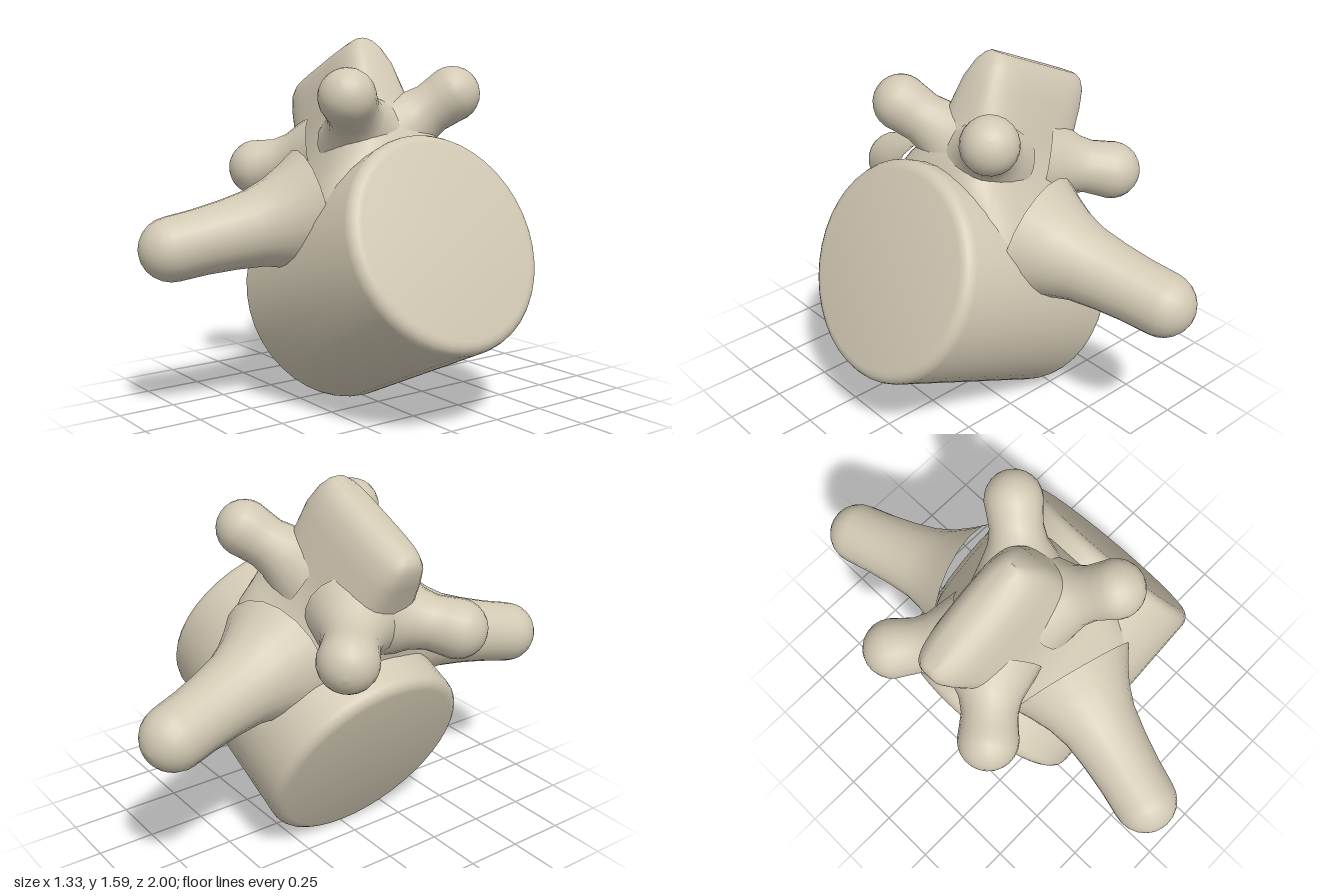
import * as THREE from 'three';
import { toCreasedNormals } from 'three/addons/utils/BufferGeometryUtils.js';

const V2 = (x, y) => new THREE.Vector2(x, y);
const V3 = (p) => new THREE.Vector3(...p);

// Round-tipped limb: profile rows are [fraction of length, radius]
function limb(name, from, to, profile, tip, material) {
  const a = V3(from), dir = V3(to).sub(a), length = dir.length();
  const points = profile.map(([t, r]) => V2(r, t * length));
  for (let i = 0; i <= 6; i++) {
    const angle = (i / 6) * Math.PI / 2;
    points.push(V2(Math.max(0, tip * Math.cos(angle)), length + tip * Math.sin(angle)));
  }
  const mesh = new THREE.Mesh(new THREE.LatheGeometry(points, 20), material);
  mesh.name = name;
  mesh.position.copy(a);
  mesh.quaternion.setFromUnitVectors(new THREE.Vector3(0, 1, 0), dir.normalize());
  return mesh;
}

// Loft of rounded-rectangle sections: [height, min x, max x, half depth]
function loft(sections, sides) {
  const positions = [], index = [];
  const soft = (n) => Math.sign(n) * Math.abs(n) ** 0.55;
  sections.forEach(([y, x0, x1, depth], i) => {
    for (let j = 0; j < sides; j++) {
      const t = (j / sides) * Math.PI * 2;
      positions.push((x0 + x1) / 2 + soft(Math.cos(t)) * (x1 - x0) / 2, y, soft(Math.sin(t)) * depth);
      if (i === sections.length - 1) continue;
      const a = i * sides + j, b = i * sides + (j + 1) % sides;
      index.push(a, a + sides, b, b, a + sides, b + sides);
    }
  });
  const geometry = new THREE.BufferGeometry();
  geometry.setAttribute('position', new THREE.Float32BufferAttribute(positions, 3));
  geometry.setIndex(index);
  return toCreasedNormals(geometry, 0.75);
}

export function createModel() {
  const model = new THREE.Group();
  model.name = 'knobbedDrum';
  const clay = new THREE.MeshStandardMaterial({ color: 0xd2c9b4 });
  clay.name = 'warm clay';

  // Tilted drum and its crest share one leaning frame
  const leaning = new THREE.Group();
  leaning.name = 'leaningBody';
  leaning.rotation.z = THREE.MathUtils.degToRad(25);
  model.add(leaning);

  // Drum with softened rims
  const half = 0.455, radius = 0.465, rim = 0.05, profile = [V2(0, -half)];
  for (const side of [-1, 1]) {
    for (let i = 0; i <= 4; i++) {
      const a = ((side < 0 ? i - 4 : i) / 4) * Math.PI / 2;
      profile.push(V2(radius - rim + rim * Math.cos(a), side * (half - rim) + rim * Math.sin(a)));
    }
  }
  profile.push(V2(0, half));
  const drum = new THREE.Mesh(toCreasedNormals(new THREE.LatheGeometry(profile, 40), 0.6), clay);
  drum.name = 'drum';
  drum.rotation.z = -Math.PI / 2;
  drum.position.set(0.315, 0.52, 0);
  leaning.add(drum);

  // Crest flaring down into the drum
  const crest = new THREE.Mesh(loft([
    [0.72, 0.0, 0.64, 0.43],
    [0.88, 0.0, 0.66, 0.36],
    [0.98, 0.01, 0.68, 0.28],
    [1.08, 0.03, 0.65, 0.215],
    [1.22, 0.04, 0.63, 0.17],
    [1.36, 0.03, 0.63, 0.135],
    [1.44, 0.03, 0.61, 0.105],
    [1.48, 0.045, 0.59, 0.075],
    [1.496, 0.07, 0.575, 0.045],
    [1.496, 0.32, 0.32, 0],
  ], 40), clay);
  crest.name = 'crest';
  leaning.add(crest);

  // Mirrored arms and knobs, front and back
  for (const [side, label] of [[1, 'front'], [-1, 'back']]) {
    model.add(
      limb(label + 'Arm', [-0.09, 0.86, side * 0.3], [-0.24, 0.75, side * 0.865],
        [[0, 0.28], [0.12, 0.235], [0.25, 0.195], [0.4, 0.165], [0.6, 0.148], [0.8, 0.138]], 0.135, clay),
      limb(label + 'UpperKnob', [0, 1.19, side * 0.08], [0.16, 1.36, side * 0.275],
        [[0, 0.2], [0.25, 0.155], [0.45, 0.122], [0.65, 0.11], [0.85, 0.115]], 0.12, clay),
      limb(label + 'SideKnob', [-0.33, 1.07, side * 0.08], [-0.55, 1.02, side * 0.275],
        [[0, 0.2], [0.25, 0.16], [0.45, 0.128], [0.65, 0.115], [0.85, 0.12]], 0.125, clay),
    );
  }
  return model;
}
